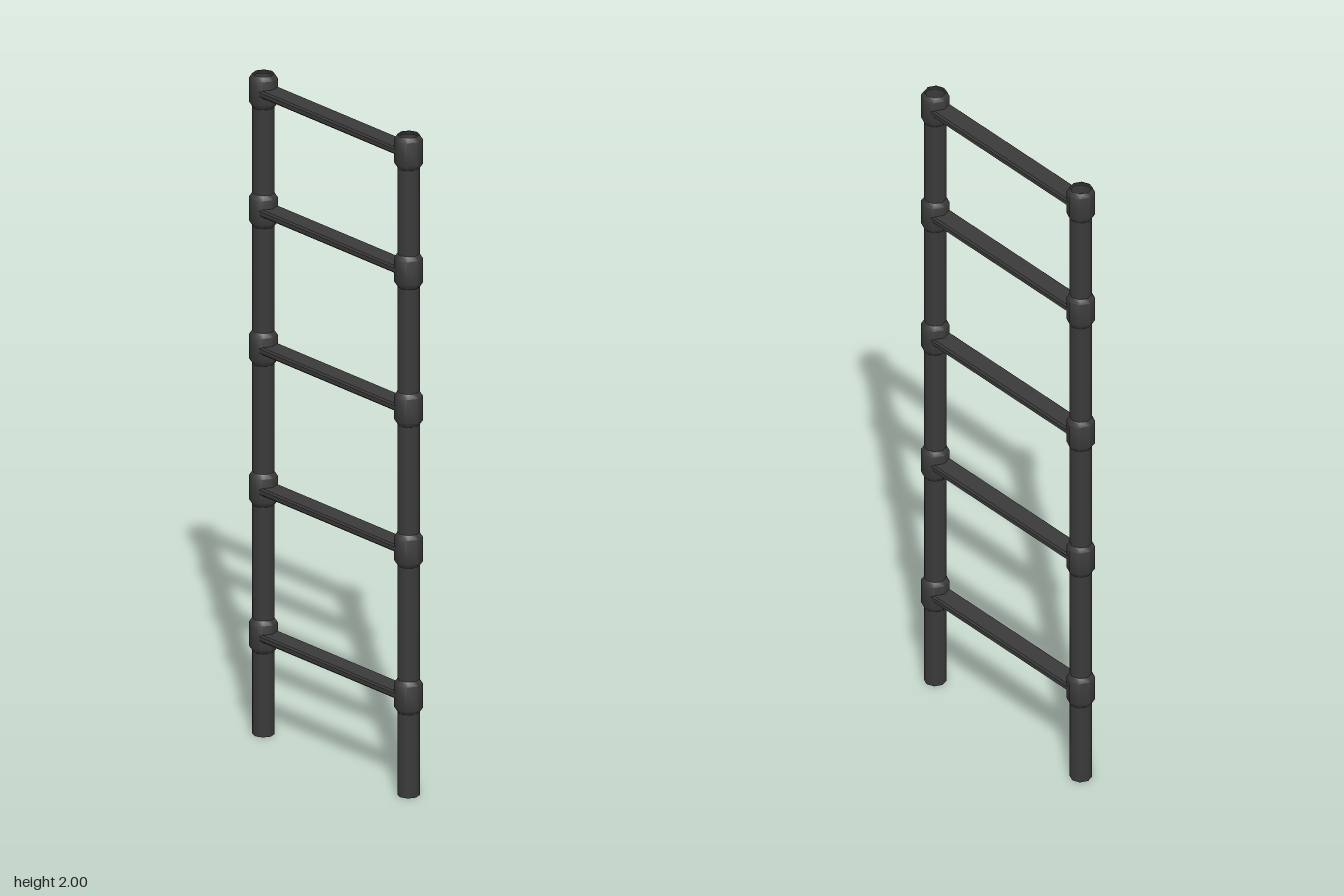
import * as THREE from 'three';
import { toCreasedNormals } from 'three/addons/utils/BufferGeometryUtils.js';

const RAIL_X = 0.323;
const SIDES = 8;
const RUNG_HEIGHTS = [0.302, 0.746, 1.173, 1.59, 1.95];

export function createModel() {
  const ladder = new THREE.Group();
  ladder.name = 'ladder';
  const material = new THREE.MeshStandardMaterial({ color: 0x3a3a3a, side: THREE.DoubleSide });

  const add = (name, geometry, x, y) => {
    const mesh = new THREE.Mesh(geometry, material);
    mesh.name = name;
    mesh.position.set(x, y, 0);
    ladder.add(mesh);
  };

  // Open eight-sided tube for the rails
  const railHeight = 1.99;
  const rail = new THREE.CylinderGeometry(0.032, 0.032, railHeight, SIDES, 1, true);

  // Open collar with chamfered ends
  const profile = [[0.032, -0.05], [0.041, -0.037], [0.041, 0.037], [0.032, 0.05]];
  const collar = toCreasedNormals(
    new THREE.LatheGeometry(profile.map(([r, y]) => new THREE.Vector2(r, y)), SIDES),
    THREE.MathUtils.degToRad(48)
  );

  // Flat rung with bevelled long edges
  const section = new THREE.Shape(
    [[-0.028, -0.011], [0.028, -0.011], [0.033, -0.006], [0.033, 0.006],
      [0.028, 0.011], [-0.028, 0.011], [-0.033, 0.006], [-0.033, -0.006]]
      .map(([z, y]) => new THREE.Vector2(z, y))
  );
  const rung = new THREE.ExtrudeGeometry(section, { depth: 2 * RAIL_X, bevelEnabled: false });
  rung.translate(0, 0, -RAIL_X).rotateY(Math.PI / 2);

  for (const [side, x] of [['left', RAIL_X], ['right', -RAIL_X]]) {
    add(`${side}Rail`, rail, x, railHeight / 2);
    RUNG_HEIGHTS.forEach((y, i) => add(`${side}Collar${i + 1}`, collar, x, y));
  }
  RUNG_HEIGHTS.forEach((y, i) => add(`rung${i + 1}`, rung, 0, y));

  // Foot closing the left rail
  const foot = new THREE.CircleGeometry(0.032, SIDES).rotateX(-Math.PI / 2);
  add('leftFoot', foot, RAIL_X, 0);

  return ladder;
}
